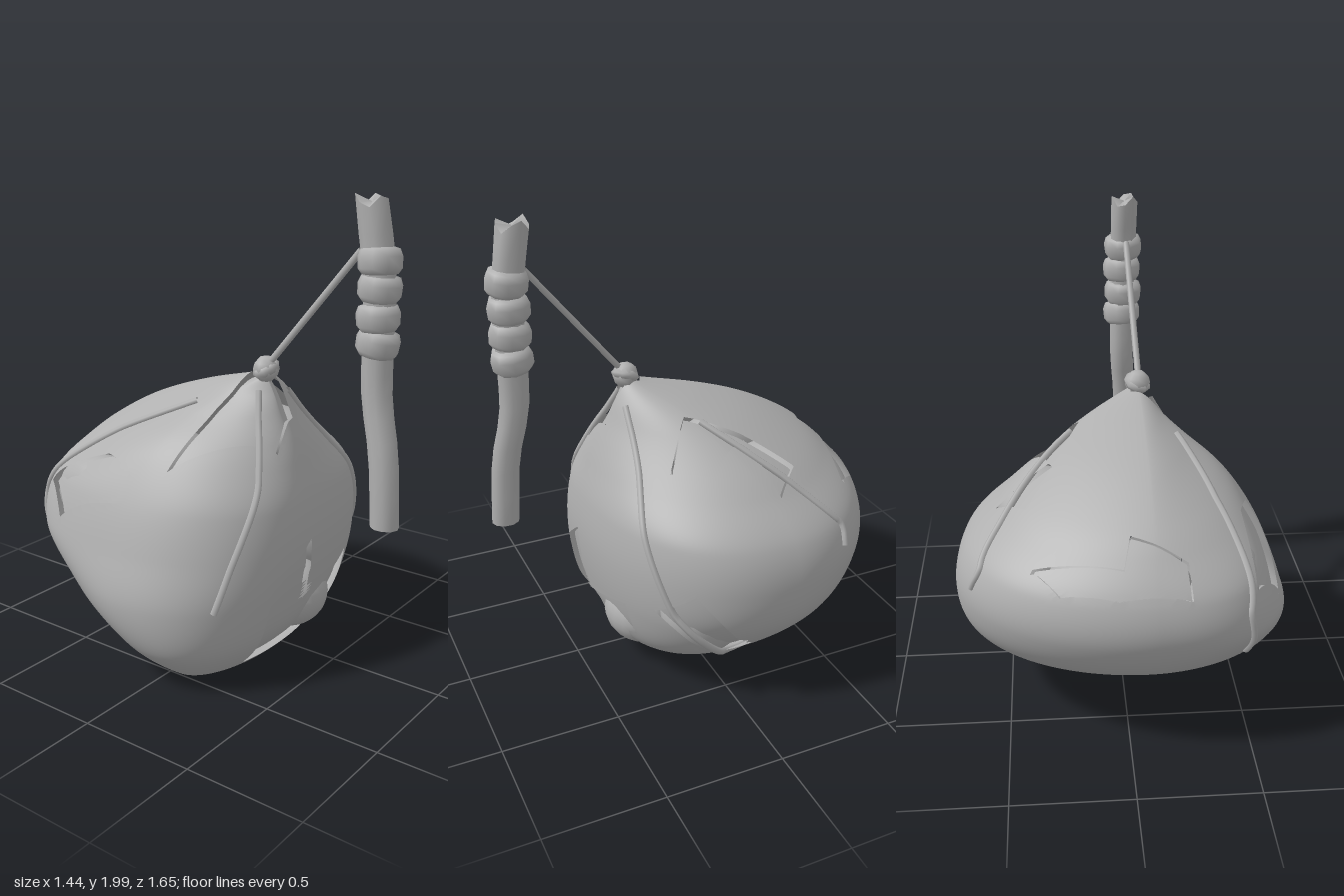
import * as THREE from 'three';

// Body levels from bottom to top: y, xMin, xMax, zMin, zMax
const LEVELS = [
  [0.01, -0.2, -0.2, 0.05, 0.05], [0.01, -0.45, 0.03, -0.08, 0.17],
  [0.05, -0.55, 0.2, -0.17, 0.27], [0.18, -0.68, 0.48, -0.4, 0.37],
  [0.37, -0.725, 0.67, -0.69, 0.42], [0.57, -0.67, 0.715, -0.815, 0.44],
  [0.75, -0.6, 0.67, -0.8, 0.425], [0.9, -0.51, 0.53, -0.68, 0.385],
  [1.0, -0.42, 0.42, -0.55, 0.35], [1.1, -0.29, 0.28, -0.36, 0.305],
  [1.18, -0.19, 0.13, -0.14, 0.27], [1.25, -0.13, -0.04, 0.12, 0.23],
  [1.28, -0.1, -0.1, 0.19, 0.19],
];
const spline = (a, b) => new THREE.SplineCurve(LEVELS.map(l => new THREE.Vector2(l[a], l[b])));
const ySpline = spline(0, 0), xSpline = spline(1, 2), zSpline = spline(3, 4);

function level(t) {
  const x = xSpline.getPoint(t), z = zSpline.getPoint(t);
  const cx = THREE.MathUtils.clamp(-0.1, x.x, x.y);
  return { y: ySpline.getPoint(t).x, cx, cz: (z.x + z.y) / 2,
    right: x.y - cx, left: cx - x.x, b: (z.y - z.x) / 2, skew: 0.03 * (z.y - z.x) / 1.25 };
}
// Rounded-square exponent of each quadrant, turning to a diamond near the neck
function squareness(x, z, y) {
  const { lerp, smoothstep } = THREE.MathUtils;
  let e = x < 0 ? 0.92 : 0.8;
  if (z < 0) e = x < 0 ? lerp(0.98, 0.68, smoothstep(y, 0.35, 0.57)) : 1.02;
  return lerp(e, 1.2, smoothstep(y, 0.75, 1.1));
}
const power = (v, e) => Math.sign(v) * Math.abs(v) ** e;

function bodyPoint(l, u) {
  const c = Math.cos(u), s = Math.sin(u), e = squareness(c, s, l.y), nx = power(c, e);
  return new THREE.Vector3(l.cx + nx * (c < 0 ? l.left : l.right), l.y, l.cz - l.skew * nx + l.b * power(s, e));
}

// Push a point horizontally onto the body surface, then outward by an offset
function onBody([x, y, z], out) {
  let lo = 1 / 12, hi = 1;
  for (let i = 0; i < 24; i++) {
    const mid = (lo + hi) / 2;
    if (ySpline.getPoint(mid).x < y) lo = mid; else hi = mid;
  }
  const l = level(lo), nx = (x - l.cx) / (x < l.cx ? l.left : l.right);
  const nz = (z - l.cz + l.skew * nx) / l.b, e = squareness(nx, nz, l.y);
  const p = bodyPoint(l, Math.atan2(power(nz, 1 / e), power(nx, 1 / e)));
  const n = new THREE.Vector3(p.x - l.cx, (y - 0.55) * 0.8, p.z - l.cz).normalize();
  return p.addScaledVector(n, out);
}

// Torn openings: projection axes and depth axis, side test and outline
const HOLES = [
  { ax: ['x', 'y', 'z'], on: p => p.z > 0.1, pts: [[-0.35, 0.07], [-0.33, 0.42], [-0.1, 0.59], [-0.08, 0.28],
    [0.28, 0.4], [0.29, 0.24], [0.23, 0.22], [0.17, 0.09]] },
  { ax: ['z', 'y', 'x'], on: p => p.x > 0.2, pts: [[0.19, 0.57], [0.31, 0.45], [0.19, 0.32], [0, 0.18], [-0.07, 0.28], [0.03, 0.36]] },
  { ax: ['x', 'z', 'y'], on: p => p.y > 0.6, pts: [[0.4, -0.35], [0.53, -0.22], [0.3, -0.16], [0.4, 0.03], [0.3, 0.17], [0.17, 0.05], [0.27, -0.16]] },
  { ax: ['x', 'z', 'y'], on: p => p.y > 0.68, pts: [[-0.23, -0.78], [-0.22, -0.68], [0, -0.6], [0.03, -0.7], [0.39, -0.6], [0.28, -0.72], [0.05, -0.78]] },
  { ax: ['x', 'z', 'y'], on: p => p.y > 0.55, pts: [[-0.5, -0.66], [-0.48, -0.33], [-0.53, -0.17], [-0.6, -0.2], [-0.62, -0.5]] },
  { ax: ['x', 'z', 'y'], on: p => p.y > 0.7, pts: [[-0.5, 0], [-0.25, 0.07], [-0.06, 0.15], [-0.06, 0.31], [-0.21, 0.34]] },
];
function inside(u, v, pts) {
  let hit = false;
  pts.forEach(([x1, y1], i) => {
    const [x2, y2] = pts[(i + 1) % pts.length];
    if ((y1 > v) !== (y2 > v) && u < (x2 - x1) * (v - y1) / (y2 - y1) + x1) hit = !hit;
  });
  return hit;
}
// Slide a point along its tangent plane onto a nearby outline, so torn edges run straight
function snapToOutline(p, n) {
  for (const { ax: [a, b, c], on, pts } of HOLES) {
    if (!on(p) || Math.abs(n[c]) < 0.25) continue;
    for (let i = 0; i < pts.length; i++) {
      const [x1, y1] = pts[i], [x2, y2] = pts[(i + 1) % pts.length], dx = x2 - x1, dy = y2 - y1;
      const k = THREE.MathUtils.clamp(((p[a] - x1) * dx + (p[b] - y1) * dy) / (dx * dx + dy * dy), 0, 1);
      const da = x1 + k * dx - p[a], db = y1 + k * dy - p[b];
      if (Math.hypot(da, db) < 0.01) {
        p[a] += da;
        p[b] += db;
        p[c] -= (n[a] * da + n[b] * db) / n[c];
        return;
      }
    }
  }
}

// The sack with its torn openings, and the sunken lining seen through them
function sackGeometries(cols, rows) {
  const points = [], index = [];
  for (let j = 0; j <= rows; j++) {
    const l = level(j / rows);
    for (let i = 0; i < cols; i++) points.push(bodyPoint(l, i / cols * Math.PI * 2));
  }
  for (let j = 0; j < rows; j++) {
    for (let i = 0; i < cols; i++) {
      const k = (i + 1) % cols, a = j * cols + i, b = j * cols + k;
      index.push(a, a + cols, b, b, a + cols, b + cols);
    }
  }
  const sack = new THREE.BufferGeometry().setFromPoints(points);
  sack.setIndex(index);
  sack.computeVertexNormals();
  const normals = points.map((p, i) => new THREE.Vector3().fromBufferAttribute(sack.attributes.normal, i));
  points.forEach((p, i) => snapToOutline(p, normals[i]));
  sack.setFromPoints(points);
  const lining = sack.clone();
  lining.setFromPoints(points.map((p, i) => p.clone().addScaledVector(normals[i], -0.025)));
  const kept = [], sunken = [], p = new THREE.Vector3();
  for (let f = 0; f < index.length; f += 3) {
    const tri = index.slice(f, f + 3);
    p.set(0, 0, 0);
    tri.forEach(v => p.addScaledVector(points[v], 1 / 3));
    const torn = HOLES.some(h => h.on(p) && inside(p[h.ax[0]], p[h.ax[1]], h.pts));
    (torn ? sunken : kept).push(...tri);
  }
  sack.setIndex(kept);
  lining.setIndex(sunken);
  return { sack, lining };
}

export function createModel() {
  const model = new THREE.Group();
  const grey = new THREE.MeshStandardMaterial({ color: 0xb0b0b0, side: THREE.DoubleSide });
  grey.name = 'grey';
  const add = (name, geometry, parent = model) => {
    const m = new THREE.Mesh(geometry, grey);
    m.name = name;
    parent.add(m);
    return m;
  };
  const group = name => {
    const g = new THREE.Group();
    g.name = name;
    model.add(g);
    return g;
  };

  const { sack, lining } = sackGeometries(240, 156);
  add('sack', sack);
  add('lining', lining);

  // Lumps showing through the openings: centre and radii
  const contents = group('contents');
  [[0.08, 0.22, 0.22, 0.18, 0.15, 0.16], [0.42, 0.38, 0.06, 0.16, 0.2, 0.2],
    [0.33, 0.84, -0.1, 0.2, 0.14, 0.26], [0.04, 0.68, -0.5, 0.3, 0.17, 0.2],
    [-0.41, 0.68, -0.42, 0.14, 0.18, 0.26], [-0.2, 0.85, 0.13, 0.2, 0.16, 0.15]].forEach(([x, y, z, a, b, c]) => {
    const lump = add('lump', new THREE.SphereGeometry(1, 20, 14), contents);
    lump.position.set(x, y, z);
    lump.scale.set(a, b, c);
  });

  // Cords that lie over the sack
  const cords = group('cords');
  [[[-0.16, 1.19, 0.22], [-0.3, 0.85, 0.26], [-0.47, 0.55, 0.28], [-0.56, 0.38, 0.28]],
    [[0, 1.17, 0.24], [0.2, 0.97, 0.27], [0.38, 0.75, 0.31], [0.55, 0.47, 0.28], [0.6, 0.27, 0.1], [0.49, 0.16, -0.02], [0.48, 0.17, -0.12]],
    [[0.1, 1.14, 0], [0.25, 1.05, -0.12], [0.4, 0.95, -0.25], [0.58, 0.81, -0.42], [0.65, 0.75, -0.5], [0.66, 0.67, -0.48]],
    [[-0.2, 1.13, -0.03], [-0.35, 0.98, -0.35], [-0.47, 0.8, -0.64], [-0.48, 0.66, -0.75], [-0.48, 0.45, -0.68]],
  ].forEach(points => {
    const path = new THREE.CurvePath();
    const snapped = points.map(p => onBody(p, 0.002));
    for (let i = 1; i < snapped.length; i++) path.add(new THREE.LineCurve3(snapped[i - 1], snapped[i]));
    // Re-seat the cord on the surface along its length
    const dense = path.getSpacedPoints(24).map(p => onBody(p.toArray(), 0.002));
    add('cord', new THREE.TubeGeometry(new THREE.CatmullRomCurve3(dense), 48, 0.015, 6), cords);
  });

  // Knot at the neck and the line to the stick
  const knot = group('knot');
  const ball = add('knotBall', new THREE.SphereGeometry(0.056, 8, 6), knot);
  ball.position.set(-0.095, 1.275, 0.2);
  const loop = add('knotLoop', new THREE.TorusGeometry(0.04, 0.022, 6, 9), knot);
  loop.position.set(-0.095, 1.275, 0.2);
  loop.rotation.set(1.2, 0.3, 0);
  add('line', new THREE.TubeGeometry(new THREE.LineCurve3(
    new THREE.Vector3(-0.1, 1.28, 0.2), new THREE.Vector3(-0.075, 1.79, 0.62)), 1, 0.014, 6));

  // Crooked stick with a splintered top
  const bend = new THREE.CatmullRomCurve3([[-0.08, 0.71, 0.765], [-0.075, 1.0, 0.745], [-0.06, 1.22, 0.7],
    [-0.06, 1.42, 0.695], [-0.065, 1.7, 0.695], [-0.07, 1.96, 0.655]].map(p => new THREE.Vector3(...p)));
  const stickGeometry = new THREE.CylinderGeometry(0.06, 0.053, 1, 10, 12);
  const pos = stickGeometry.attributes.position;
  for (let i = 0; i < pos.count; i++) {
    const h = pos.getY(i) + 0.5, x = pos.getX(i), z = pos.getZ(i), c = bend.getPoint(h);
    const onTop = h > 0.999, rim = Math.hypot(x, z) > 0.01;
    const jag = !onTop ? 0 : rim ? 0.015 + 0.025 * Math.cos(Math.atan2(z, x) * 3 + 0.4) : 0.01;
    pos.setXYZ(i, c.x + x, c.y + jag, c.z + z * 1.12);
  }
  stickGeometry.computeVertexNormals();
  add('stick', stickGeometry);

  // Coils wound round the stick
  const coils = group('coils');
  const profile = [[0.045, -0.056], [0.07, -0.05], [0.085, -0.03], [0.087, 0.015], [0.076, 0.044], [0.045, 0.054]];
  [1.755, 1.65, 1.54, 1.44].forEach((y, i) => {
    const coil = add('coil', new THREE.LatheGeometry(profile.map(p => new THREE.Vector2(...p)), 9), coils);
    coil.position.set(-0.066 + 0.006 * (i % 2), y, 0.695);
    coil.rotation.set(0.08 * (i % 2 ? 1 : -1), i * 0.7, 0.06 * (i - 1.5));
  });
  return model;
}
